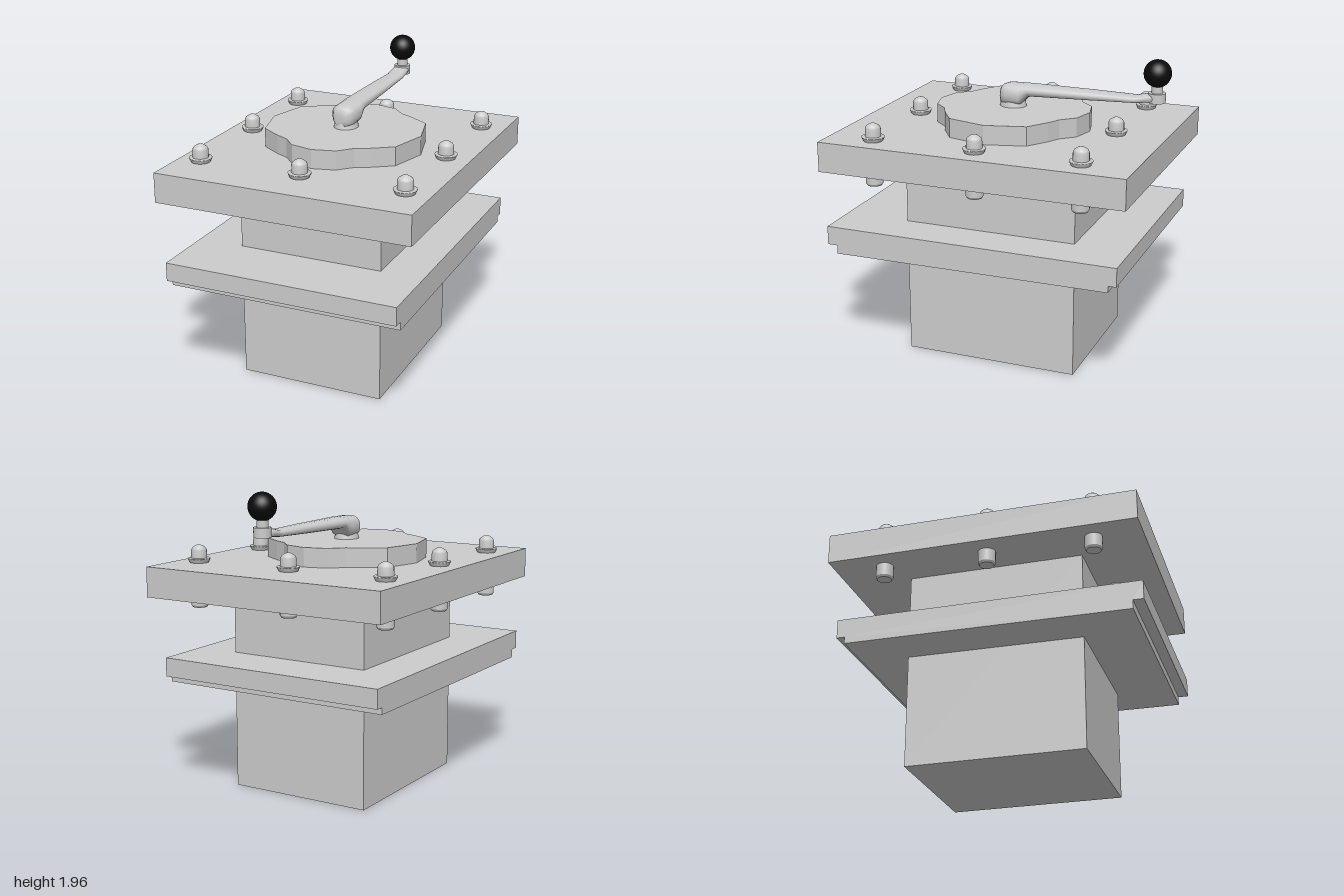
import * as THREE from 'three';

const grey = new THREE.MeshStandardMaterial({ color: 0xcccccc });
const black = new THREE.MeshStandardMaterial({ color: 0x0a0a0a });

function add(parent, name, geometry, x = 0, y = 0, z = 0, material = grey) {
  const mesh = new THREE.Mesh(geometry, material);
  mesh.name = name;
  mesh.position.set(x, y, z);
  parent.add(mesh);
  return mesh;
}

// Box given by its limits on each axis
function addBox(parent, name, [x0, x1], [y0, y1], [z0, z1]) {
  return add(parent, name, new THREE.BoxGeometry(x1 - x0, y1 - y0, z1 - z0),
    (x0 + x1) / 2, (y0 + y1) / 2, (z0 + z1) / 2);
}

const shapeOf = pts => new THREE.Shape(pts.map(p => new THREE.Vector2(...p)));
const lathe = (pts, n) => new THREE.LatheGeometry(pts.map(p => new THREE.Vector2(...p)), n);

// Stepped flange: (z, y) profile extruded across x
function flangeGeometry() {
  const profile = shapeOf([[0.935, 0.71], [0.935, 0.765], [1, 0.765], [1, 0.885],
    [-0.912, 0.885], [-0.912, 0.765], [-0.86, 0.765], [-0.86, 0.722]]);
  return new THREE.ExtrudeGeometry(profile, { depth: 1.53, bevelEnabled: false }).rotateY(-Math.PI / 2);
}

// Scalloped disc: one quadrant of the outline mirrored four ways
function discGeometry() {
  const quadrant = [[0.512, 0], [0.445, 0.255], [0.312, 0.345], [0.228, 0.387], [0.148, 0.473], [0, 0.51]];
  const half = [...quadrant, ...quadrant.slice(0, -1).reverse().map(([x, y]) => [-x, y])];
  const outline = [...half, ...half.slice(1, -1).reverse().map(([x, y]) => [x, -y])];
  return new THREE.ExtrudeGeometry(shapeOf(outline), { depth: 0.125, bevelEnabled: false })
    .rotateX(-Math.PI / 2);
}

// Crank arm: rounded-rectangle sections [z, half width, bottom, top] lofted along -z
function armGeometry() {
  const sections = [
    [0.11, 0.04, 1.6, 1.7], [0.095, 0.062, 1.598, 1.72], [0.06, 0.085, 1.598, 1.732],
    [-0.03, 0.082, 1.6, 1.734], [-0.055, 0.08, 1.632, 1.734], [-0.09, 0.077, 1.66, 1.734],
    [-0.5, 0.066, 1.673, 1.732], [-0.78, 0.057, 1.684, 1.727], [-0.85, 0.055, 1.692, 1.745],
    [-0.9, 0.052, 1.695, 1.752],
  ];
  const n = 16, pos = [], index = [];
  const soften = v => Math.sign(v) * Math.abs(v) ** 0.75;
  for (const [z, w, y0, y1] of sections)
    for (let i = 0; i < n; i++) {
      const a = (i / n) * Math.PI * 2;
      pos.push(w * soften(Math.cos(a)), (y0 + y1) / 2 + (y1 - y0) / 2 * soften(Math.sin(a)), z);
    }
  for (let k = 0; k < sections.length - 1; k++)
    for (let i = 0; i < n; i++) {
      const a = k * n + i, a1 = k * n + (i + 1) % n;
      index.push(a, a + n, a1, a1, a + n, a1 + n);
    }
  const last = (sections.length - 1) * n;
  for (let i = 1; i < n - 1; i++) index.push(0, i, i + 1, last, last + i + 1, last + i);
  const g = new THREE.BufferGeometry();
  g.setAttribute('position', new THREE.Float32BufferAttribute(pos, 3));
  g.setIndex(index);
  g.computeVertexNormals();
  return g;
}

export function createModel() {
  const model = new THREE.Group();
  model.name = 'crankSwitch';

  // Housing and plates
  addBox(model, 'body', [-0.48, 0.472], [0, 1.275], [-0.555, 0.573]);
  addBox(model, 'topPlate', [-0.835, 0.83], [1.272, 1.463], [-0.978, 0.995]);
  add(model, 'steppedFlange', flangeGeometry(), 0.75);
  add(model, 'scallopedDisc', discGeometry(), -0.005, 1.46, 0.028);

  // Eight bolts around the rim of the plate, none in the middle
  const head = lathe([[0.058, 1.46], [0.071, 1.485], [0.071, 1.491], [0.05, 1.492], [0.05, 1.492],
    [0.049, 1.542], [0.042, 1.556], [0.022, 1.57], [0, 1.577]], 20);
  const shank = lathe([[0, 1.178], [0.046, 1.178], [0.046, 1.178], [0.055, 1.192], [0.055, 1.192],
    [0.055, 1.28]], 20);
  for (const x of [-0.683, -0.007, 0.67])
    for (const z of [-0.655, 0.018, 0.693]) {
      if (x === -0.007 && z === 0.018) continue;
      const bolt = new THREE.Group();
      bolt.name = 'bolt';
      bolt.position.set(x, 0, z);
      add(bolt, 'boltHead', head);
      add(bolt, 'boltShank', shank);
      model.add(bolt);
    }

  // Crank handle
  const crank = new THREE.Group();
  crank.name = 'crank';
  add(crank, 'crankFoot', new THREE.CylinderGeometry(0.07, 0.078, 0.04, 24), 0, 1.602, 0.032)
    .scale.z = 1.12;
  add(crank, 'crankArm', armGeometry());
  add(crank, 'crankBoss', new THREE.CylinderGeometry(0.054, 0.054, 0.06, 24), 0, 1.725, -0.911);
  add(crank, 'knobStem', new THREE.CylinderGeometry(0.035, 0.035, 0.08, 20), 0, 1.785, -0.911);
  add(crank, 'knob', new THREE.SphereGeometry(0.086, 32, 20), 0, 1.876, -0.911, black);
  model.add(crank);

  return model;
}
